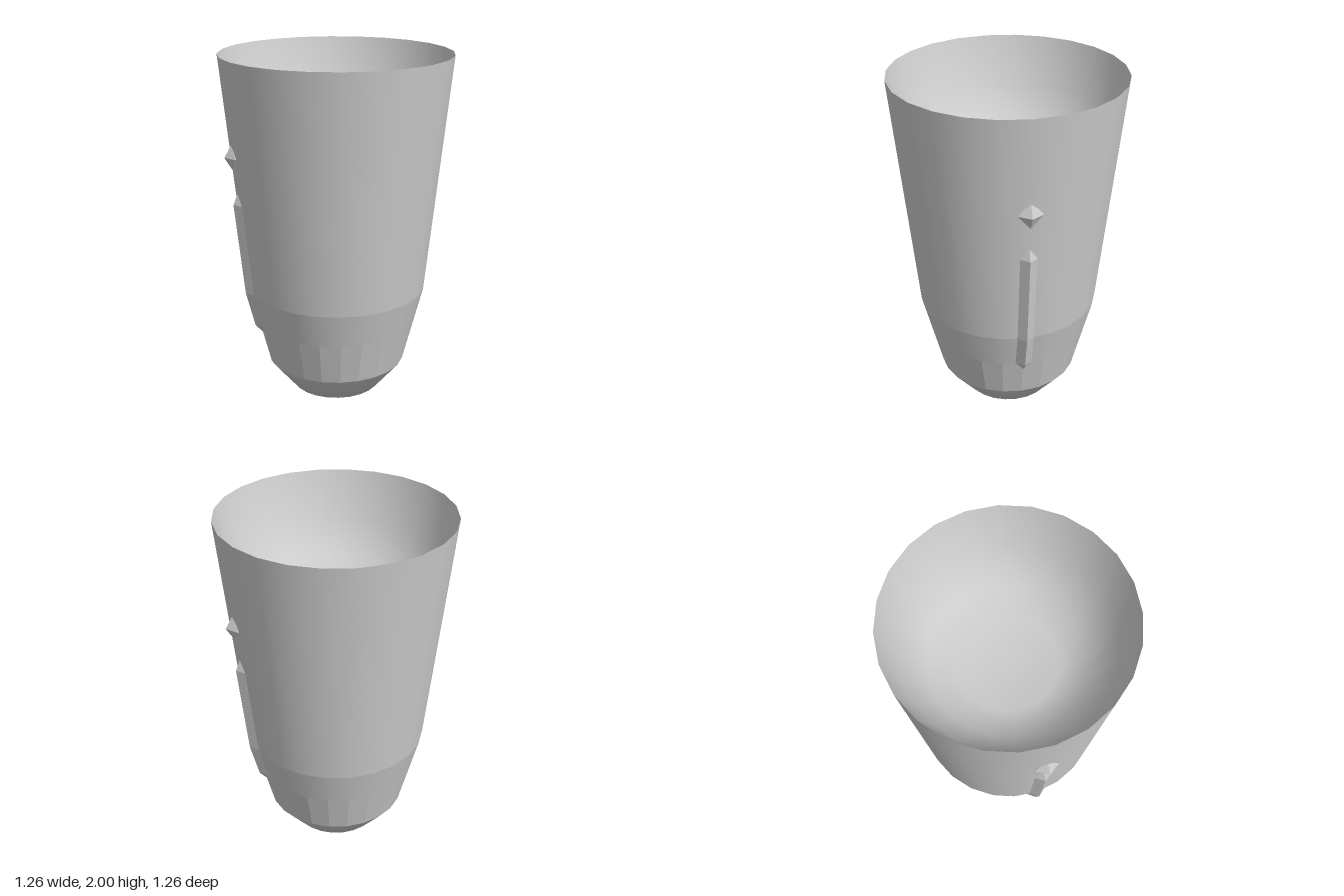
import * as THREE from 'three';

const SIDES = 24;
const TILT = Math.PI / 6; // bearing of the side ornaments

function material(flatShading = false) {
  return new THREE.MeshStandardMaterial({ color: 0xcccccc, flatShading });
}

// Turned section from [radius, height] points
function turned(name, points, flat = false) {
  const profile = points.map(([r, y]) => new THREE.Vector2(r, y));
  const mesh = new THREE.Mesh(new THREE.LatheGeometry(profile, SIDES), material(flat));
  mesh.name = name;
  return mesh;
}

// Bent ridge with two faces and pointed ends; local +x points outwards
function ridge() {
  const rows = [ // height, body radius, crest radius, half width
    [0.44, 0.437, 0.437, 0],
    [0.49, 0.44, 0.48, 0.05],
    [0.69, 0.49, 0.53, 0.05],
    [1.21, 0.542, 0.582, 0.05],
    [1.27, 0.558, 0.558, 0],
  ].map(([y, r, crest, w]) => [[r, y, w], [crest, y, 0], [r, y, -w]]);
  const positions = [];
  for (let i = 0; i < rows.length - 1; i++) {
    for (let j = 0; j < 2; j++) {
      const a = rows[i][j], b = rows[i][j + 1];
      const c = rows[i + 1][j + 1], d = rows[i + 1][j];
      if (i > 0) positions.push(...a, ...b, ...c);
      else positions.push(...a, ...c, ...d);
      if (i > 0 && i < rows.length - 2) positions.push(...a, ...c, ...d);
    }
  }
  const geometry = new THREE.BufferGeometry();
  geometry.setAttribute('position', new THREE.Float32BufferAttribute(positions, 3));
  geometry.computeVertexNormals();
  const mesh = new THREE.Mesh(geometry, material(true));
  mesh.name = 'ridge';
  return mesh;
}

// Small eight-sided stud above the ridge
function stud() {
  const geometry = new THREE.OctahedronGeometry(1);
  geometry.scale(0.045, 0.075, 0.066);
  geometry.translate(0.577, 1.475, 0);
  const mesh = new THREE.Mesh(geometry, material(true));
  mesh.name = 'stud';
  return mesh;
}

export function createModel() {
  const model = new THREE.Group();
  model.name = 'taperedCup';

  // Outer shell, from the bottom up
  model.add(
    turned('baseDome', [[0, 0], [0.25, 0.08], [0.39, 0.25]]),
    turned('facetedBand', [[0.39, 0.25], [0.45, 0.49]], true),
    turned('smoothBand', [[0.45, 0.49], [0.5, 0.69]]),
    turned('upperWall', [[0.5, 0.69], [0.63, 2]]),
  );

  // Hollow, running from the rim down to a flat floor
  model.add(turned('innerBowl', [[0.63, 2], [0.55, 1.75], [0.42, 1.58], [0.26, 1.5], [0, 1.5]]));

  // The same ornament on two opposite sides
  for (const turn of [0, Math.PI]) {
    const ornament = new THREE.Group();
    ornament.name = turn ? 'rightOrnament' : 'leftOrnament';
    ornament.add(ridge(), stud());
    ornament.rotation.y = turn - TILT;
    model.add(ornament);
  }
  return model;
}
